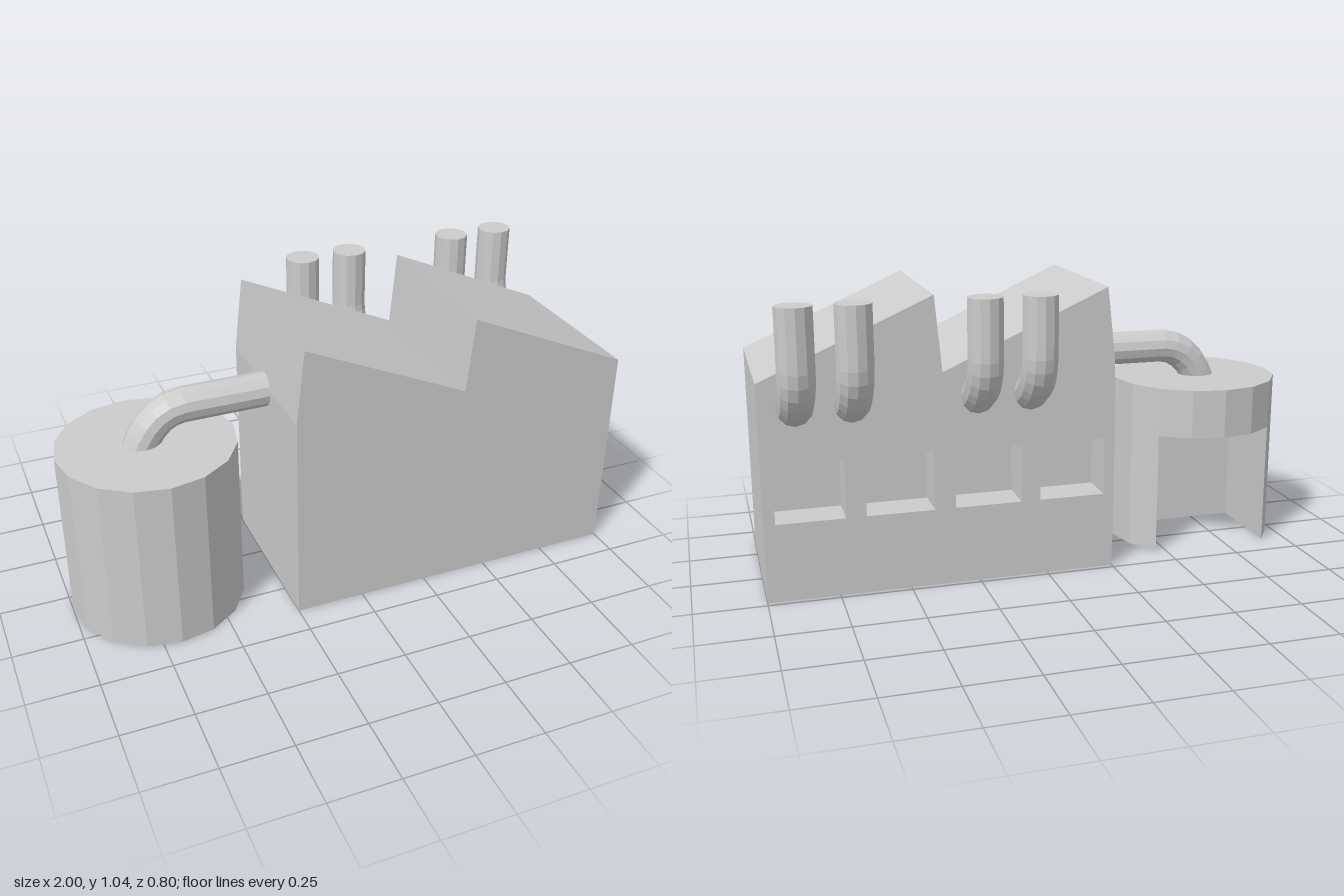
import * as THREE from 'three';

const mat = new THREE.MeshStandardMaterial({ color: 0xcccccc, flatShading: true });
const V = (x, y, z) => new THREE.Vector3(x, y, z);

function add(parent, name, geometry, x = 0, y = 0, z = 0) {
  const mesh = new THREE.Mesh(geometry, mat);
  mesh.name = name;
  mesh.position.set(x, y, z);
  parent.add(mesh);
  return mesh;
}

function polygon(points) {
  return new THREE.Shape(points.map(([x, y]) => new THREE.Vector2(x, y)));
}

// Pipe with a straight run from a to b, then a bend around c ending at d
function pipe(a, b, c, d, radius) {
  const path = new THREE.CurvePath();
  path.add(new THREE.LineCurve3(a, b));
  path.add(new THREE.QuadraticBezierCurve3(b, c, d));
  return new THREE.TubeGeometry(path, 12, radius, 12, false);
}

export function createModel() {
  const model = new THREE.Group();
  model.name = 'factory';

  // Saw-tooth hall: solid front body plus a rear wall pierced by windows
  const profile = [[-0.25, 0], [1, 0], [1, 0.77], [0.4, 1.037], [0.375, 0.77], [-0.22, 1.037], [-0.25, 0.77]];
  const zBack = -0.23, zFront = 0.39, recess = 0.14;
  const hall = new THREE.Group();
  hall.name = 'hall';
  model.add(hall);
  add(hall, 'hallBody', new THREE.ExtrudeGeometry(polygon(profile),
    { depth: zFront - zBack - recess, bevelEnabled: false }), 0, 0, zBack + recess);

  const wall = polygon(profile);
  for (const x of [-0.215, 0.095, 0.41, 0.72]) {
    const r = x + 0.24;
    wall.holes.push(polygon([[x, 0.28], [x, 0.49], [r, 0.49], [r, 0.28]]));
  }
  add(hall, 'windowWall', new THREE.ExtrudeGeometry(wall, { depth: recess, bevelEnabled: false }), 0, 0, zBack);

  // Four bent chimneys rising from the rear wall
  const R = 0.0625;
  for (const x of [0.06, 0.25, 0.685, 0.875]) {
    const chimney = new THREE.Group();
    chimney.name = 'chimney';
    chimney.position.x = x;
    model.add(chimney);
    add(chimney, 'chimneyPipe', pipe(V(0, 1.04, -0.338), V(0, 0.84, -0.338), V(0, 0.725, -0.338), V(0, 0.675, -0.21), R));
    add(chimney, 'chimneyCap', new THREE.CircleGeometry(R, 12), 0, 1.04, -0.338).rotation.x = -Math.PI / 2;
  }

  // Sixteen-sided tank: solid upper drum over a lower drum with a doorway at the rear
  const tank = new THREE.Group();
  tank.name = 'tank';
  tank.position.set(-0.685, 0, 0.08);
  model.add(tank);
  const tankR = 0.315, height = 0.636, doorTop = 0.455;
  add(tank, 'tankTop', new THREE.CylinderGeometry(tankR, tankR, height - doorTop, 16), 0, (height + doorTop) / 2, 0);

  const plan = [];
  for (let i = -6; i <= 6; i++) {
    const a = i * Math.PI / 8;
    plan.push([Math.sin(a) * tankR, -Math.cos(a) * tankR]);
  }
  const door = tankR * Math.SQRT1_2;
  plan.push([door, -0.1], [-door, -0.1]);
  const lower = new THREE.ExtrudeGeometry(polygon(plan), { depth: doorTop, bevelEnabled: false });
  lower.rotateX(-Math.PI / 2);
  add(tank, 'tankBase', lower);

  // Feed pipe from the hall to the tank lid
  add(model, 'feedPipe', pipe(V(-0.23, 0.752, 0.075), V(-0.54, 0.752, 0.075), V(-0.655, 0.752, 0.075), V(-0.71, 0.61, 0.075), R));

  return model;
}
